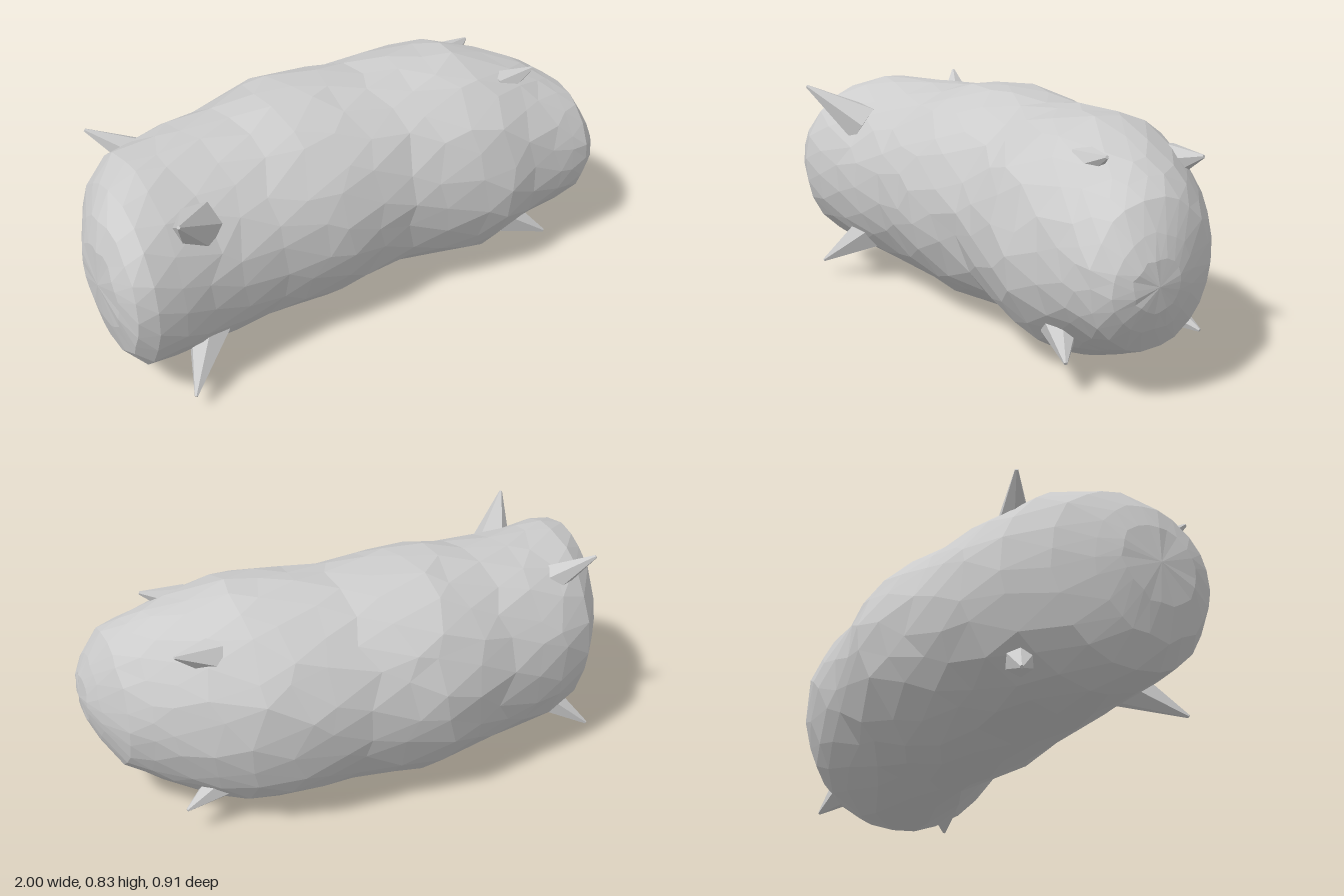
import * as THREE from 'three';

// Seeded jitter in the range -1..1
function jitterSource(seed) {
  let s = seed;
  return () => {
    s = (s * 16807) % 2147483647;
    return (s / 2147483647) * 2 - 1;
  };
}

// Body cross-sections: x, top y, bottom y, back z, front z
const SECTIONS = [
  [-0.99, 0.60, 0.34, 0.05, 0.33],
  [-0.96, 0.69, 0.21, -0.03, 0.41],
  [-0.90, 0.76, 0.12, -0.16, 0.43],
  [-0.80, 0.79, 0.07, -0.28, 0.42],
  [-0.65, 0.79, 0.05, -0.35, 0.39],
  [-0.40, 0.80, 0.04, -0.39, 0.37],
  [-0.20, 0.84, 0.01, -0.45, 0.385],
  [-0.08, 0.835, 0.01, -0.455, 0.375],
  [0.12, 0.81, 0.04, -0.42, 0.355],
  [0.35, 0.83, 0.02, -0.42, 0.40],
  [0.50, 0.825, 0.005, -0.39, 0.42],
  [0.65, 0.78, 0.06, -0.31, 0.39],
  [0.80, 0.72, 0.12, -0.20, 0.385],
  [0.90, 0.66, 0.17, -0.10, 0.38],
  [0.96, 0.56, 0.26, 0.02, 0.34],
  [0.99, 0.49, 0.33, 0.10, 0.28],
];

// Interpolated cross-section at x
function sectionAt(x) {
  let i = 0;
  while (i < SECTIONS.length - 2 && SECTIONS[i + 1][0] < x) i++;
  const a = SECTIONS[i], b = SECTIONS[i + 1];
  const t = THREE.MathUtils.clamp((x - a[0]) / (b[0] - a[0]), 0, 1);
  const [, top, bottom, back, front] = a.map((v, k) => v + (b[k] - v) * t);
  return { y: (top + bottom) / 2, z: (back + front) / 2, ry: (top - bottom) / 2, rz: (front - back) / 2 };
}

// Lumpy bent capsule lofted through the sections, closed by a fan at each end
function bodyGeometry() {
  const rand = jitterSource(4271);
  const sides = 22;
  const stations = [-0.99, -0.96, -0.9, -0.8, -0.67, -0.54, -0.4, -0.27, -0.14, 0,
    0.13, 0.26, 0.39, 0.52, 0.65, 0.75, 0.83, 0.9, 0.96, 0.99];
  const pos = [], index = [];
  stations.forEach((x0, i) => {
    const wobble = Math.abs(x0) < 0.78 ? 0.035 : 0.004;
    for (let j = 0; j < sides; j++) {
      const x = x0 + rand() * wobble;
      const a = ((j + (i % 2) * 0.5 + rand() * 0.22) / sides) * Math.PI * 2;
      const c = sectionAt(x), r = 1.005 + rand() * 0.014;
      pos.push(x, c.y + Math.cos(a) * c.ry * r, c.z + Math.sin(a) * c.rz * r);
    }
  });
  for (let i = 0; i < stations.length - 1; i++) {
    for (let j = 0; j < sides; j++) {
      const k = (j + 1) % sides;
      const a = i * sides + j, b = i * sides + k, c = a + sides, d = b + sides;
      if (i % 2) index.push(a, b, d, a, d, c);
      else index.push(a, b, c, b, d, c);
    }
  }
  const last = (stations.length - 1) * sides;
  const leftPole = pos.length / 3, rightPole = leftPole + 1;
  pos.push(-1, 0.47, 0.19, 1, 0.41, 0.19);
  for (let j = 0; j < sides; j++) {
    const k = (j + 1) % sides;
    index.push(leftPole, k, j, rightPole, last + j, last + k);
  }
  const g = new THREE.BufferGeometry();
  g.setAttribute('position', new THREE.Float32BufferAttribute(pos, 3));
  g.setIndex(index);
  g.computeVertexNormals();
  return g;
}

// Thin uneven spike swept outwards and towards the nearer end of the body
function makeSpike(tip, width, material) {
  const end = new THREE.Vector3(...tip);
  const baseX = tip[0] - Math.sign(tip[0]) * 0.14;
  const c = sectionAt(baseX);
  const angle = Math.atan2((tip[2] - c.z) / c.rz, (tip[1] - c.y) / c.ry);
  const start = new THREE.Vector3(baseX, c.y + Math.cos(angle) * c.ry * 0.88, c.z + Math.sin(angle) * c.rz * 0.88);
  const length = start.distanceTo(end);
  const geometry = new THREE.CylinderGeometry(0.006, width, length, 6, 2);
  const mesh = new THREE.Mesh(geometry, material);
  mesh.position.copy(start).lerp(end, 0.5);
  mesh.quaternion.setFromUnitVectors(new THREE.Vector3(0, 1, 0), end.clone().sub(start).normalize());
  return mesh;
}

export function createModel() {
  const group = new THREE.Group();
  const material = new THREE.MeshStandardMaterial({ color: 0xcccccc, flatShading: true });

  const body = new THREE.Mesh(bodyGeometry(), material);
  body.name = 'body';
  group.add(body);

  // Four spikes around each end
  const spikes = {
    rightFrontTopSpike: [[-0.82, 0.78, 0.45], 0.085],
    rightFrontBottomSpike: [[-0.79, 0.07, 0.42], 0.08],
    rightBackTopSpike: [[-0.83, 0.78, -0.23], 0.06],
    rightBackBottomSpike: [[-0.85, 0.07, -0.24], 0.06],
    leftFrontTopSpike: [[0.75, 0.76, 0.2], 0.06],
    leftFrontBottomSpike: [[0.75, 0.12, 0.35], 0.07],
    leftBackTopSpike: [[0.75, 0.71, -0.2], 0.07],
    leftBackBottomSpike: [[0.75, 0.11, -0.21], 0.06],
  };
  for (const [name, [tip, width]] of Object.entries(spikes)) {
    const spike = makeSpike(tip, width, material);
    spike.name = name;
    group.add(spike);
  }
  return group;
}
